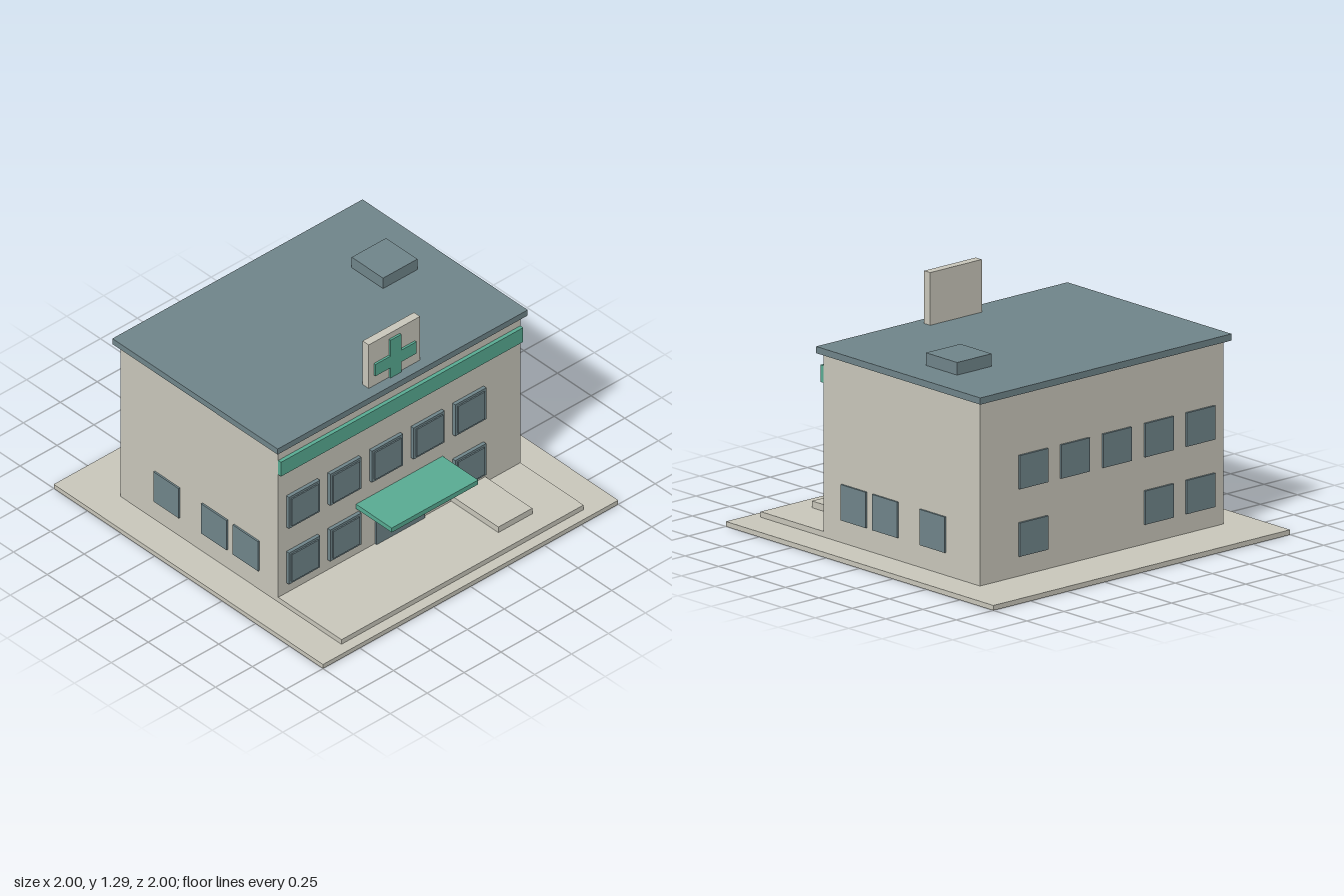
import * as THREE from 'three';

export function createModel() {
  const model = new THREE.Group();
  model.name = 'clinic';
  const mat = (name, color) => {
    const m = new THREE.MeshStandardMaterial({ color });
    m.name = name;
    return m;
  };
  const stone = mat('warm grey stone', 0xc8c6ba);
  const slate = mat('slate blue', 0x6f8489);
  const green = mat('medical green', 0x58aa92);

  // Box given by its lower and upper limits on each axis
  const box = (name, material, [x0, x1], [y0, y1], [z0, z1], parent = model) => {
    const mesh = new THREE.Mesh(new THREE.BoxGeometry(x1 - x0, y1 - y0, z1 - z0), material);
    mesh.position.set((x0 + x1) / 2, (y0 + y1) / 2, (z0 + z1) / 2);
    mesh.name = name;
    parent.add(mesh);
    return mesh;
  };

  // Ground, terrace and entrance step
  box('groundSlab', stone, [-1, 1], [0, 0.026], [-1, 1]);
  box('terrace', stone, [-0.82, 0.82], [0.026, 0.055], [0.47, 0.94]);
  box('ramp', stone, [0.352, 0.582], [0.055, 0.09], [0.47, 0.82]);

  // Main block and roof
  box('walls', stone, [-0.82, 0.82], [0.026, 0.985], [-0.7, 0.47]);
  box('roof', slate, [-0.847, 0.847], [0.985, 1.02], [-0.732, 0.495]);
  box('roofUnit', slate, [0.43, 0.663], [1.02, 1.086], [-0.355, -0.122]);

  // Green trim, canopy and door on the front
  box('fasciaBand', green, [-0.82, 0.82], [0.83, 0.92], [0.47, 0.491]);
  box('canopy', green, [-0.293, 0.293], [0.342, 0.37], [0.47, 0.735]);
  box('door', slate, [-0.165, 0.163], [0.055, 0.342], [0.47, 0.483]);

  // Rooftop sign with a cross
  const sign = new THREE.Group();
  sign.name = 'roofSign';
  model.add(sign);
  box('signPanel', stone, [-0.175, 0.173], [1.0, 1.295], [0.39, 0.435], sign);
  box('crossUpright', green, [-0.038, 0.035], [1.022, 1.26], [0.435, 0.447], sign);
  for (const [x0, x1] of [[-0.14, -0.038], [0.035, 0.137]])
    box('crossArm', green, [x0, x1], [1.086, 1.16], [0.435, 0.447], sign);

  // Front and back windows: five above, three below
  const columns = [-0.66, -0.38, -0.098, 0.184, 0.466];
  const rows = [[0.57, columns], [0.218, [columns[0], columns[1], columns[4]]]];
  for (const [y, xs] of rows) {
    for (const x of xs) {
      const win = new THREE.Group();
      win.name = 'frontWindow';
      model.add(win);
      box('frame', slate, [x - 0.105, x + 0.105], [y - 0.099, y + 0.099], [0.47, 0.49], win);
      box('pane', slate, [x - 0.09, x + 0.09], [y - 0.085, y + 0.085], [0.49, 0.497], win);
      box('backWindow', slate, [x - 0.096, x + 0.096], [y - 0.088, y + 0.088], [-0.712, -0.7]);
    }
  }

  // Side windows, mirrored
  for (const z of [0.237, 0.002, -0.352]) {
    for (const s of [-1, 1]) {
      const x = [0.82 * s, 0.83 * s].sort((a, b) => a - b);
      box(s > 0 ? 'leftWindow' : 'rightWindow', slate, x, [0.145, 0.332], [z - 0.094, z + 0.094]);
    }
  }
  return model;
}
